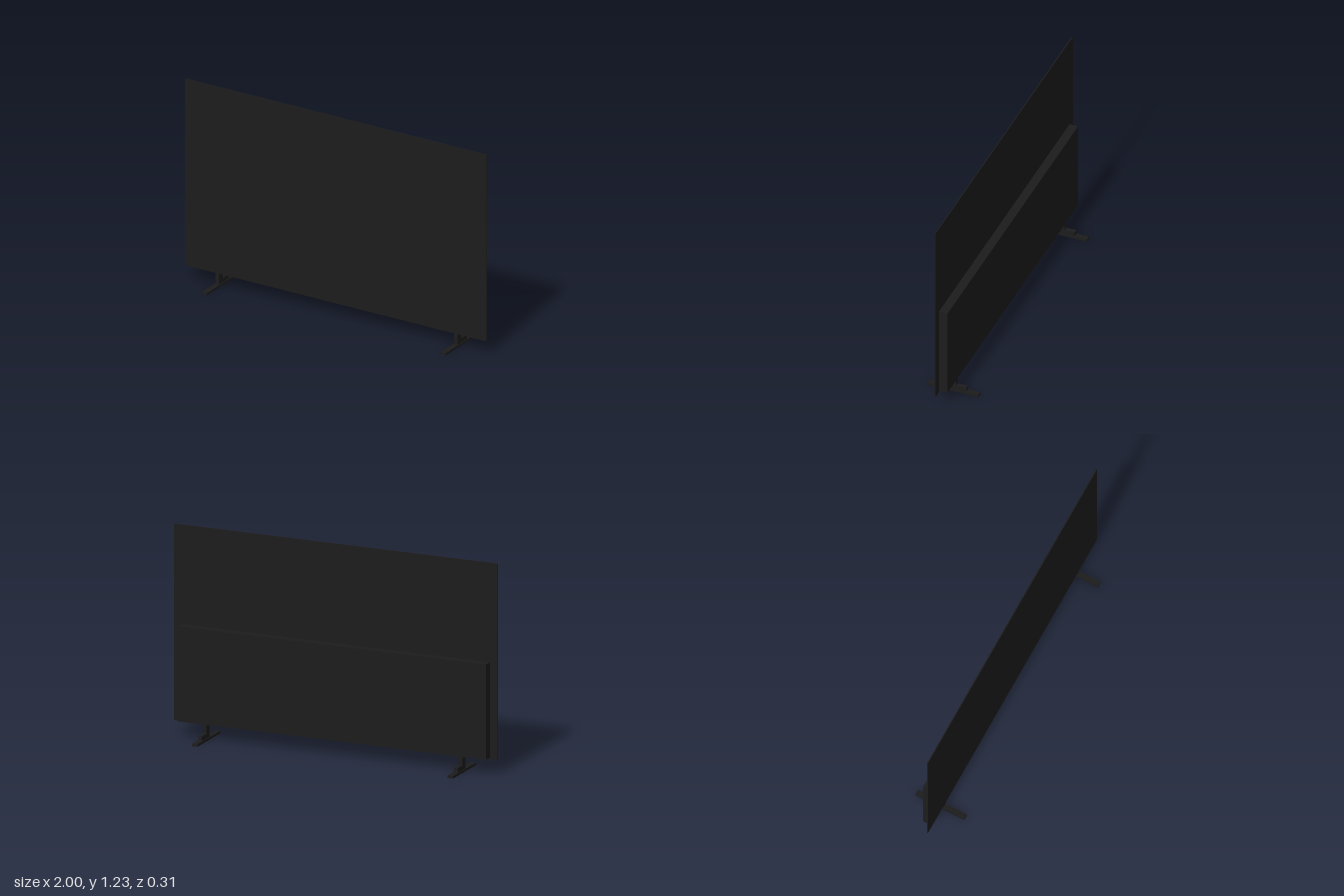
import * as THREE from 'three';

export function createModel() {
  const group = new THREE.Group();
  const black = new THREE.MeshStandardMaterial({ color: 0x1c1c1c });
  black.name = 'matte black';

  // Box given by its extents along each axis
  function addBox(parent, name, [x0, x1], [y0, y1], [z0, z1]) {
    const mesh = new THREE.Mesh(new THREE.BoxGeometry(x1 - x0, y1 - y0, z1 - z0), black);
    mesh.position.set((x0 + x1) / 2, (y0 + y1) / 2, (z0 + z1) / 2);
    mesh.name = name;
    parent.add(mesh);
  }

  // Thin display panel and the electronics housing behind its lower half
  addBox(group, 'screenPanel', [-1, 1], [0.085, 1.23], [0.024, 0.03]);
  addBox(group, 'rearHousing', [-0.953, 0.953], [0.095, 0.65], [-0.028, 0.024]);

  // Two stands: flat foot, upright post and a low brace behind the post
  for (const side of [-1, 1]) {
    const stand = new THREE.Group();
    stand.name = side < 0 ? 'rightStand' : 'leftStand';
    stand.position.x = side * 0.79;
    addBox(stand, 'foot', [-0.017, 0.017], [0, 0.014], [-0.155, 0.157]);
    addBox(stand, 'post', [-0.012, 0.012], [0.014, 0.095], [-0.019, 0.021]);
    addBox(stand, 'brace', [-0.012, 0.012], [0.014, 0.041], [-0.08, -0.019]);
    group.add(stand);
  }
  return group;
}
